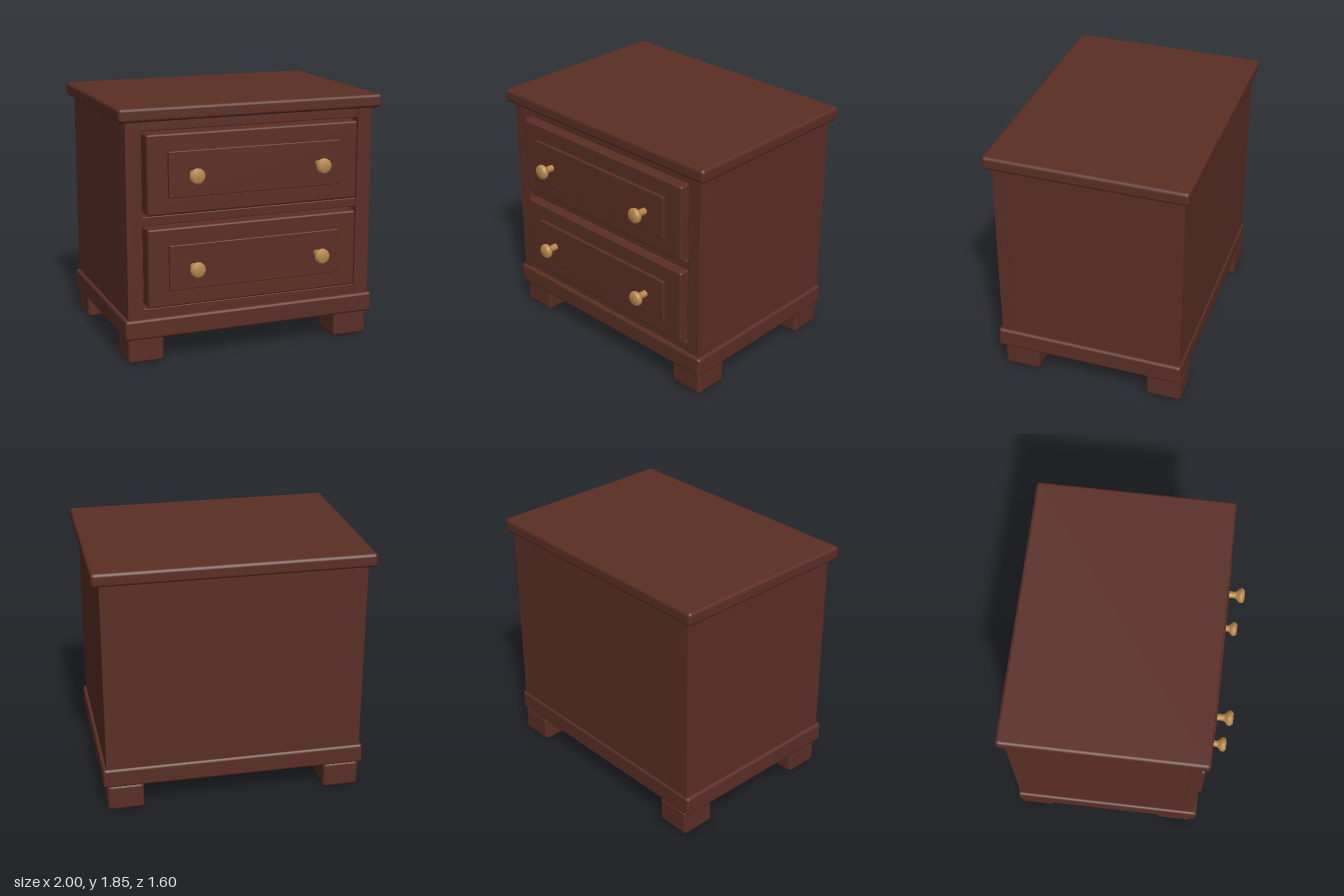
import * as THREE from 'three';
import { RoundedBoxGeometry } from 'three/addons/geometries/RoundedBoxGeometry.js';

export function createModel() {
  const wood = new THREE.MeshStandardMaterial({ color: 0x5a2e24 });
  wood.name = 'mahogany';
  const brass = new THREE.MeshStandardMaterial({ color: 0xb8894a });
  brass.name = 'brass';

  const model = new THREE.Group();
  model.name = 'nightstand';

  // Softened wooden block given by its extents on each axis
  function block(name, [x0, x1], [y0, y1], [z0, z1], radius, parent = model) {
    const geometry = new RoundedBoxGeometry(x1 - x0, y1 - y0, z1 - z0, 2, radius);
    const mesh = new THREE.Mesh(geometry, wood);
    mesh.name = name;
    mesh.position.set((x0 + x1) / 2, (y0 + y1) / 2, (z0 + z1) / 2);
    parent.add(mesh);
  }

  // Carcass
  block('top', [-1, 1], [1.75, 1.85], [-0.8, 0.66], 0.025);
  block('cabinet', [-0.945, 0.945], [0.33, 1.755], [-0.763, 0.53], 0.006);
  block('plinth', [-0.97, 0.97], [0.185, 0.335], [-0.777, 0.635], 0.022);

  // Face frame: stiles at the sides, rails between the drawers
  for (const [side, s] of [['left', 1], ['right', -1]]) {
    const xs = [0.83 * s, 0.945 * s].sort((a, b) => a - b);
    block(side + 'Stile', xs, [0.33, 1.755], [0.525, 0.612], 0.008);
  }
  [['bottomRail', 0.33, 0.405], ['middleRail', 1.01, 1.075], ['topRail', 1.68, 1.755]]
    .forEach(([name, y0, y1]) => block(name, [-0.832, 0.832], [y0, y1], [0.52, 0.605], 0.006));

  // Feet
  for (const [side, s] of [['Left', 1], ['Right', -1]]) {
    const xs = [0.675 * s, 0.942 * s].sort((a, b) => a - b);
    block('front' + side + 'Foot', xs, [0, 0.2], [0.33, 0.6], 0.025);
    block('back' + side + 'Foot', xs, [0, 0.2], [-0.777, -0.51], 0.025);
  }

  // Turned knob: stem, flare and flat-faced head
  const knobProfile = [
    [0.025, 0], [0.025, 0.055], [0.034, 0.068], [0.052, 0.084],
    [0.057, 0.098], [0.055, 0.112], [0.04, 0.125], [0, 0.127],
  ].map(([r, h]) => new THREE.Vector2(r, h));
  const knobGeometry = new THREE.LatheGeometry(knobProfile, 16);
  knobGeometry.rotateX(Math.PI / 2);

  // Drawers with raised panels and two knobs each
  for (const [name, y] of [['lowerDrawer', 0.705], ['upperDrawer', 1.375]]) {
    const drawer = new THREE.Group();
    drawer.name = name;
    block('drawerFront', [-0.805, 0.805], [y - 0.287, y + 0.287], [0.5, 0.654], 0.016, drawer);
    block('raisedPanel', [-0.655, 0.655], [y - 0.165, y + 0.165], [0.63, 0.678], 0.007, drawer);
    for (const x of [-0.48, 0.48]) {
      const knob = new THREE.Mesh(knobGeometry, brass);
      knob.name = x > 0 ? 'leftKnob' : 'rightKnob';
      knob.position.set(x, y, 0.673);
      drawer.add(knob);
    }
    model.add(drawer);
  }

  return model;
}
